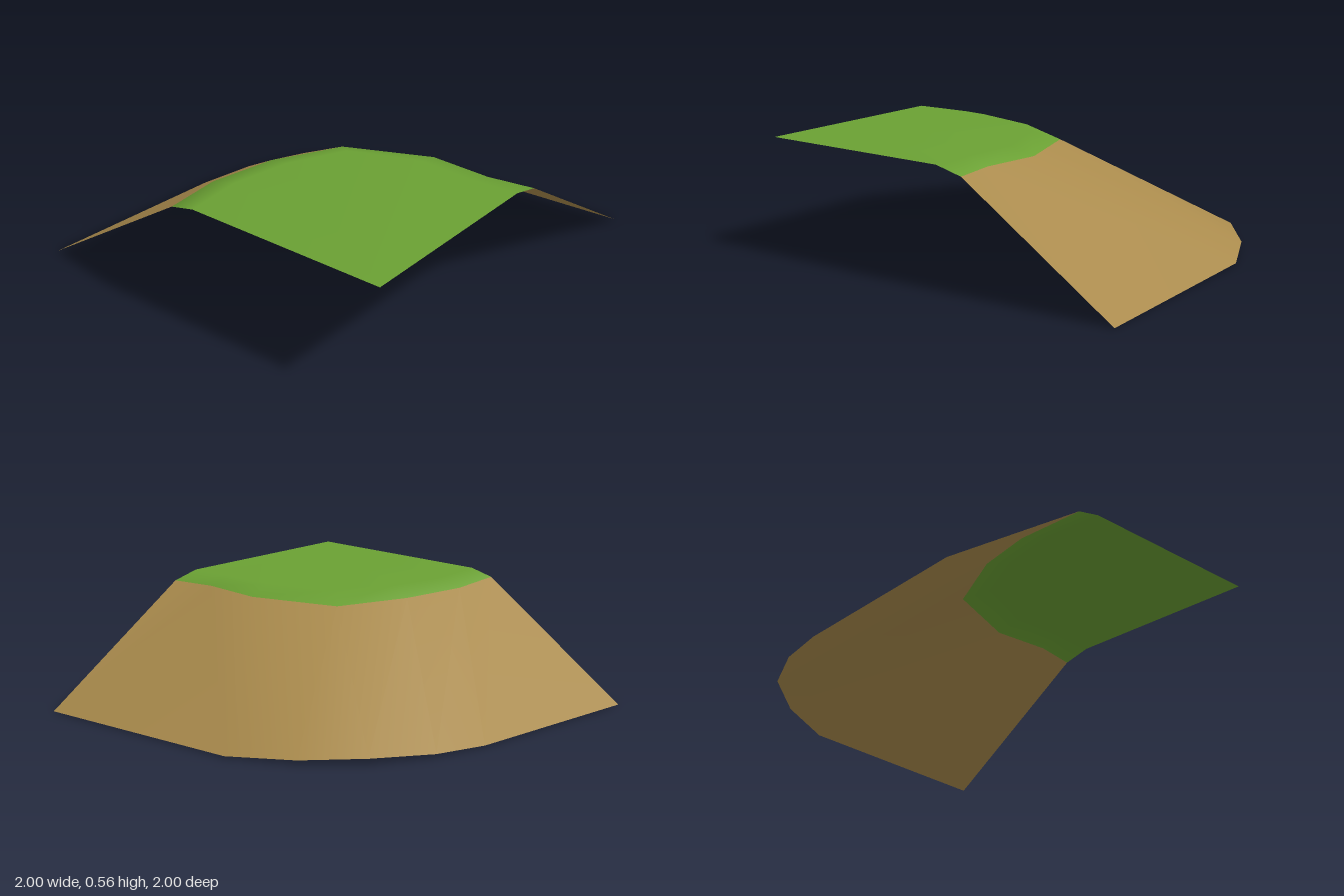
import * as THREE from 'three';

export function createModel() {
  const group = new THREE.Group();
  group.name = 'hillCorner';

  const dirt = new THREE.MeshStandardMaterial({ color: 0xa98a4c, side: THREE.DoubleSide });
  dirt.name = 'dirt brown';
  const grass = new THREE.MeshStandardMaterial({ color: 0x6aa033, side: THREE.DoubleSide });
  grass.name = 'grass green';

  // Cross-sections around the corner, from the back edge to the right-hand edge: [x, y, z]
  const foot = [[-1, 0, -1], [-0.02, 0.005, -0.91], [0.25, 0.015, -0.84], [0.54, 0.03, -0.685],
    [0.75, 0.018, -0.44], [0.905, 0.005, -0.13], [1, 0, 1]];
  const rim = [[-1, 0.535, -0.18], [-0.7, 0.53, -0.205], [-0.36, 0.525, -0.14], [-0.02, 0.515, 0.025],
    [0.15, 0.525, 0.45], [0.135, 0.53, 0.77], [0.175, 0.53, 1]];
  const crest = [[-1, 0.565, -0.05], [-0.7, 0.565, -0.07], [-0.4, 0.565, -0.01], [-0.12, 0.565, 0.13],
    [0.02, 0.565, 0.48], [0.01, 0.565, 0.77], [0.03, 0.565, 1]];
  const n = foot.length;
  const points = [...foot, ...rim, ...crest, [-1, 0.565, 1]];

  // Faces between one ring and the next one inward
  const band = (row) => {
    const index = [];
    for (let i = 0; i < n - 1; i++) {
      const a = row * n + i, c = a + n;
      index.push(a, c, a + 1, a + 1, c, c + 1);
    }
    return index;
  };
  const slopeIndex = band(0);
  const grassIndex = band(1);
  // Flat plateau fanned out from the inner corner
  for (let i = 0; i < n - 1; i++) grassIndex.push(2 * n + i, 3 * n, 2 * n + i + 1);

  // Normals are worked out over the whole surface so the parts blend smoothly
  const surface = new THREE.BufferGeometry();
  surface.setAttribute('position', new THREE.Float32BufferAttribute(points.flat(), 3));
  surface.setIndex([...slopeIndex, ...grassIndex]);
  surface.computeVertexNormals();

  const addPart = (name, index, material) => {
    const geometry = surface.clone();
    geometry.setIndex(index);
    const mesh = new THREE.Mesh(geometry, material);
    mesh.name = name;
    group.add(mesh);
  };
  addPart('dirtSlope', slopeIndex, dirt);
  addPart('grassTop', grassIndex, grass);
  return group;
}
